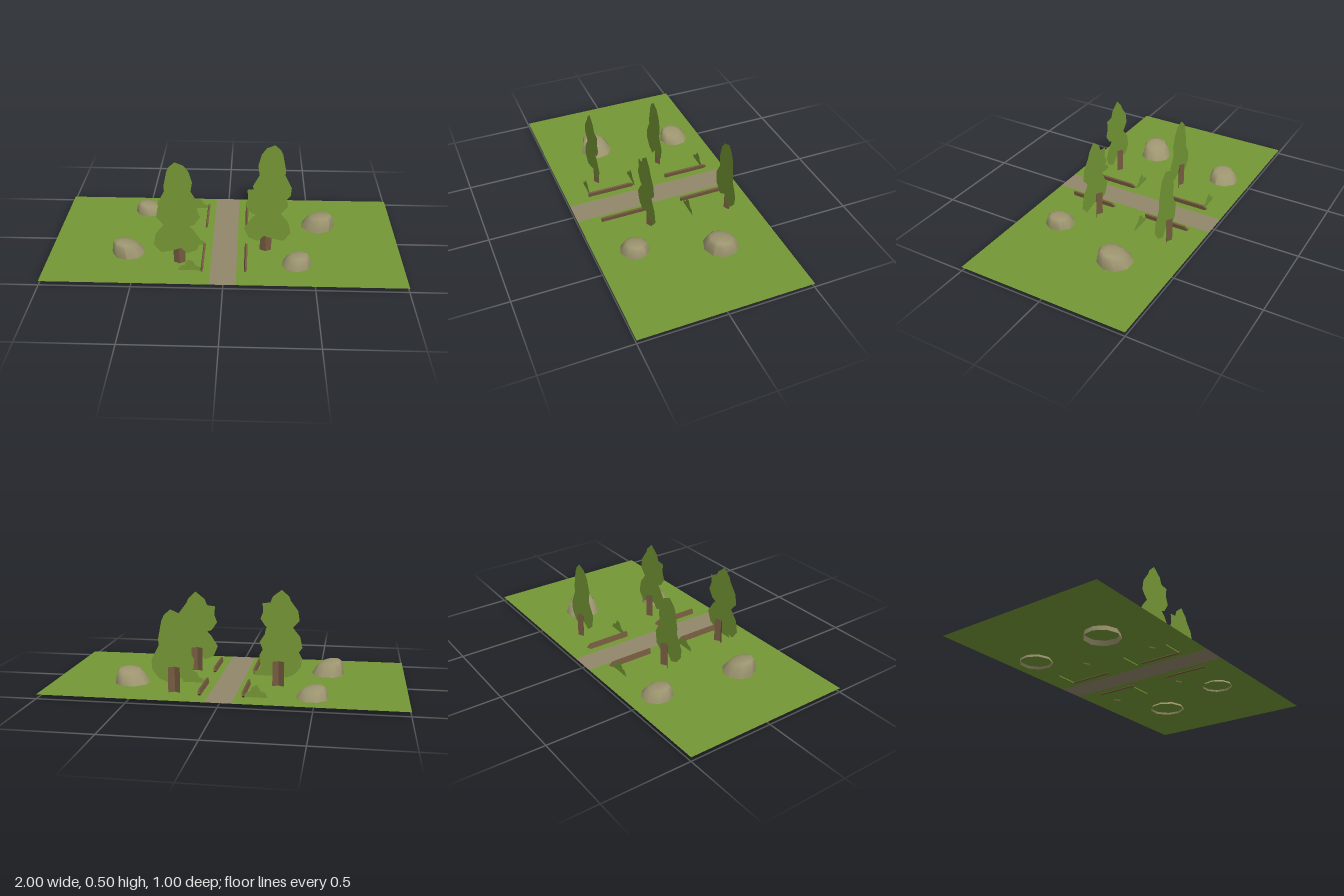
import * as THREE from 'three';

const GROUND = 0.028;

function material(name, color) {
  const m = new THREE.MeshStandardMaterial({ color, side: THREE.DoubleSide });
  m.name = name;
  return m;
}

function flatShape(points) {
  return new THREE.ShapeGeometry(new THREE.Shape(points.map(([x, y]) => new THREE.Vector2(x, y))));
}

export function createModel() {
  const model = new THREE.Group();
  const green = material('leafGreen', 0x759735);
  const pathTan = material('pathTan', 0x92876a);
  const stone = material('stone', 0x9d9570);
  const bark = material('bark', 0x745a3f);

  function add(parent, name, geometry, mat) {
    const mesh = new THREE.Mesh(geometry, mat);
    mesh.name = name;
    parent.add(mesh);
    return mesh;
  }

  // Ground in two lawns with the path strip between them
  function strip(name, x0, x1, mat) {
    const g = new THREE.PlaneGeometry(x1 - x0, 1).rotateX(-Math.PI / 2);
    add(model, name, g.translate((x0 + x1) / 2, GROUND, 0), mat);
  }
  strip('rightLawn', -1, -0.075, green);
  strip('path', -0.075, 0.07, pathTan);
  strip('leftLawn', 0.07, 1, green);

  // Flat foliage outlines, measured from the trunk centre
  const tieredCrown = [
    [-0.01, 0.508], [-0.055, 0.465], [-0.065, 0.44], [-0.11, 0.38], [-0.12, 0.32],
    [-0.08, 0.275], [-0.125, 0.22], [-0.14, 0.15], [-0.1, 0.1], [-0.05, 0.11], [0.012, 0.13],
    [0.045, 0.096], [0.098, 0.118], [0.124, 0.18], [0.082, 0.246], [0.06, 0.267],
    [0.087, 0.278], [0.12, 0.326], [0.103, 0.37], [0.108, 0.422], [0.06, 0.428], [0.045, 0.465]];
  const ovalCrown = [
    [-0.02, 0.46], [-0.055, 0.43], [-0.07, 0.4], [-0.09, 0.305], [-0.088, 0.27],
    [-0.13, 0.19], [-0.125, 0.14], [-0.09, 0.096], [-0.04, 0.075], [0, 0.12], [0.05, 0.09],
    [0.1, 0.13], [0.11, 0.2], [0.07, 0.27], [0.08, 0.33], [0.06, 0.4], [0.03, 0.44]];

  // Trunk: two panels folded along a front ridge
  function trunkGeometry() {
    const g = new THREE.PlaneGeometry(0.066, 0.15, 2, 1);
    const p = g.attributes.position;
    for (let i = 0; i < p.count; i++) p.setZ(i, Math.abs(p.getX(i)) < 0.01 ? 0.01 : -0.01);
    const folded = g.toNonIndexed();
    folded.computeVertexNormals();
    return folded.translate(0, 0.095, 0);
  }

  const trees = [
    { x: -0.25, z: 0.282, crown: tieredCrown, flip: 1, scale: 1 },
    { x: 0.232, z: 0.132, crown: tieredCrown, flip: -1, scale: 1 },
    { x: -0.285, z: -0.132, crown: ovalCrown, flip: 1, scale: 1 },
    { x: 0.265, z: -0.34, crown: ovalCrown, flip: -1, scale: 1.06 }];
  for (const t of trees) {
    const tree = new THREE.Group();
    tree.name = 'tree';
    tree.position.set(t.x, 0, t.z);
    add(tree, 'trunk', trunkGeometry(), bark);
    const outline = t.crown.map(([x, y]) => [x * t.flip, y * t.scale]);
    add(tree, 'foliage', flatShape(outline).translate(0, 0, 0.012), green);
    model.add(tree);
  }

  // Small flat bushes
  const bushOutline = [[-0.065, 0.022], [-0.05, 0.055], [-0.025, 0.062], [-0.005, 0.098],
    [0.025, 0.085], [0.035, 0.06], [0.06, 0.05], [0.068, 0.022]];
  for (const [x, z, flip] of [[-0.185, 0.08, 1], [-0.19, 0.36, 1], [0.205, -0.13, -1], [-0.19, -0.37, 1]]) {
    const g = flatShape(bushOutline.map(([bx, by]) => [bx * flip, by]));
    add(model, 'bush', g.translate(x, 0, z), green);
  }

  // Low log rails beside the path, pointed at the back end
  for (const side of [-1, 1]) {
    for (const [front, back] of [[0.37, 0.085], [-0.12, -0.395]]) {
      const length = front - back;
      const shape = new THREE.Shape();
      shape.moveTo(0, -0.017);
      shape.lineTo(length - 0.025, -0.017);
      shape.lineTo(length, 0);
      shape.lineTo(length - 0.025, 0.017);
      shape.lineTo(0, 0.017);
      const g = new THREE.ExtrudeGeometry(shape, { depth: 0.011, bevelEnabled: false });
      g.translate(0, 0, -0.0055).rotateY(Math.PI / 2).rotateZ(-0.2);
      add(model, 'rail', g.translate(side * 0.12, 0.04, front), bark);
    }
  }

  // Boulders: open domes with leaning, sloping tops
  const domeProfile = [[1, 0], [0.92, 0.33], [0.78, 0.75], [0.6, 0.94], [0.32, 1], [0.001, 1.01]];
  const boulders = [
    { x: -0.545, z: 0.17, r: 0.1, base: 0.004, h: 0.102, leanX: -0.02, leanZ: 0.015, slopeX: -0.2, slopeZ: 0.16 },
    { x: 0.545, z: -0.175, r: 0.104, base: 0.016, h: 0.09, leanX: 0.02, leanZ: 0.01, slopeX: 0.1, slopeZ: 0.12 },
    { x: -0.485, z: -0.335, r: 0.092, base: 0.015, h: 0.071, leanX: -0.01, leanZ: 0.01, slopeX: -0.15, slopeZ: 0.12 },
    { x: 0.4, z: 0.278, r: 0.086, base: 0.018, h: 0.072, leanX: 0.015, leanZ: 0, slopeX: 0.1, slopeZ: 0.05 }];
  boulders.forEach((b, n) => {
    const profile = domeProfile.map(([r, y]) => new THREE.Vector2(r * b.r, y * b.h)).reverse();
    const g = new THREE.LatheGeometry(profile.reverse(), 9, n * 0.7);
    const p = g.attributes.position;
    for (let i = 0; i < p.count; i++) {
      const x = p.getX(i), y = p.getY(i), z = p.getZ(i);
      const k = y / b.h;
      p.setXYZ(i, x + b.leanX * k, y + (b.slopeX * x + b.slopeZ * z) * k, z + b.leanZ * k);
    }
    g.computeVertexNormals();
    add(model, 'boulder', g.translate(b.x, b.base, b.z), stone);
  });

  return model;
}
